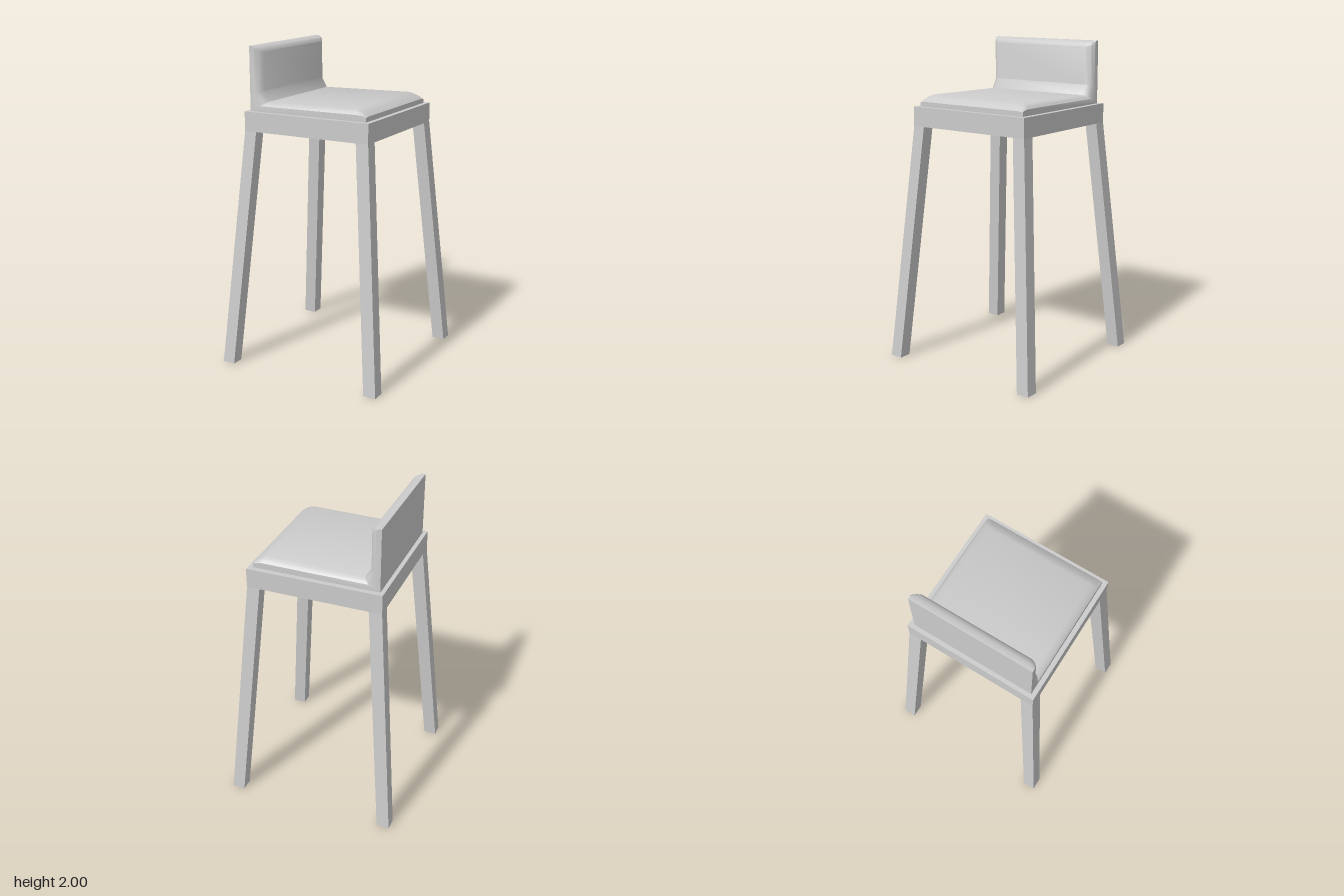
import * as THREE from 'three';
import { toCreasedNormals } from 'three/addons/utils/BufferGeometryUtils.js';

const grey = new THREE.MeshStandardMaterial({ color: 0xcccccc });

// Side profile of the one-piece seat pad and low back: [x, y] in the middle,
// then [x, y] at the outer rim, where the edges are rounded off.
const PROFILE = [
  [0.39, 1.61, 0.39, 1.61],
  [0.39, 1.64, 0.39, 1.635],
  [0.36, 1.663, 0.375, 1.642],
  [0.32, 1.68, 0.34, 1.648],
  [-0.29, 1.668, -0.325, 1.645],
  [-0.325, 1.73, -0.362, 1.71],
  [-0.325, 1.965, -0.362, 1.98],
  [-0.338, 1.987, -0.366, 1.993],
  [-0.365, 2.0, -0.375, 2.0],
  [-0.395, 2.0, -0.395, 2.0],
  [-0.395, 1.61, -0.395, 1.61],
];

// Rings along z: [z, blend from rim profile (0) to middle profile (1)]
const RINGS = [[-0.388, 0], [-0.373, 0.6], [-0.345, 1], [0.348, 1], [0.376, 0.6], [0.392, 0]];

function cushionGeometry() {
  const n = PROFILE.length;
  const positions = [];
  const index = [];
  const ringPoints = (t) => PROFILE.map(([x, y, rx, ry]) =>
    new THREE.Vector2(THREE.MathUtils.lerp(rx, x, t), THREE.MathUtils.lerp(ry, y, t)));
  for (const [z, t] of RINGS) {
    for (const p of ringPoints(t)) positions.push(p.x, p.y, z);
  }
  // skin between rings
  for (let r = 0; r < RINGS.length - 1; r++) {
    for (let i = 0; i < n; i++) {
      const j = (i + 1) % n;
      const a = r * n + i, b = r * n + j, c = b + n, d = a + n;
      index.push(a, b, c, a, c, d);
    }
  }
  // end caps
  const last = (RINGS.length - 1) * n;
  for (const [a, b, c] of THREE.ShapeUtils.triangulateShape(ringPoints(0), [])) {
    index.push(last + a, last + b, last + c, c, b, a);
  }
  const geometry = new THREE.BufferGeometry();
  geometry.setAttribute('position', new THREE.Float32BufferAttribute(positions, 3));
  geometry.setIndex(index);
  return toCreasedNormals(geometry, 0.6);
}

// Square leg, sheared outward towards the floor
function legGeometry(sx, sz) {
  const height = 1.49, splay = 0.125;
  const geometry = new THREE.BoxGeometry(0.08, height, 0.08);
  geometry.translate(sx * 0.38, height / 2, sz * 0.38);
  const p = geometry.attributes.position;
  for (let i = 0; i < p.count; i++) {
    const out = splay * (1 - p.getY(i) / height);
    p.setX(i, p.getX(i) + sx * out);
    p.setZ(i, p.getZ(i) + sz * out);
  }
  return toCreasedNormals(geometry, 0.3);
}

export function createModel() {
  const stool = new THREE.Group();
  stool.name = 'barStool';
  const add = (name, geometry) => {
    const mesh = new THREE.Mesh(geometry, grey);
    mesh.name = name;
    stool.add(mesh);
  };

  // seat frame
  add('seatFrame', new THREE.BoxGeometry(0.84, 0.12, 0.84).translate(0, 1.55, 0));

  // seat pad with low backrest
  add('seatAndBackrest', cushionGeometry());

  // four splayed legs
  for (const sx of [-1, 1]) {
    for (const sz of [-1, 1]) {
      add((sz > 0 ? 'front' : 'back') + (sx > 0 ? 'Left' : 'Right') + 'Leg', legGeometry(sx, sz));
    }
  }
  return stool;
}
